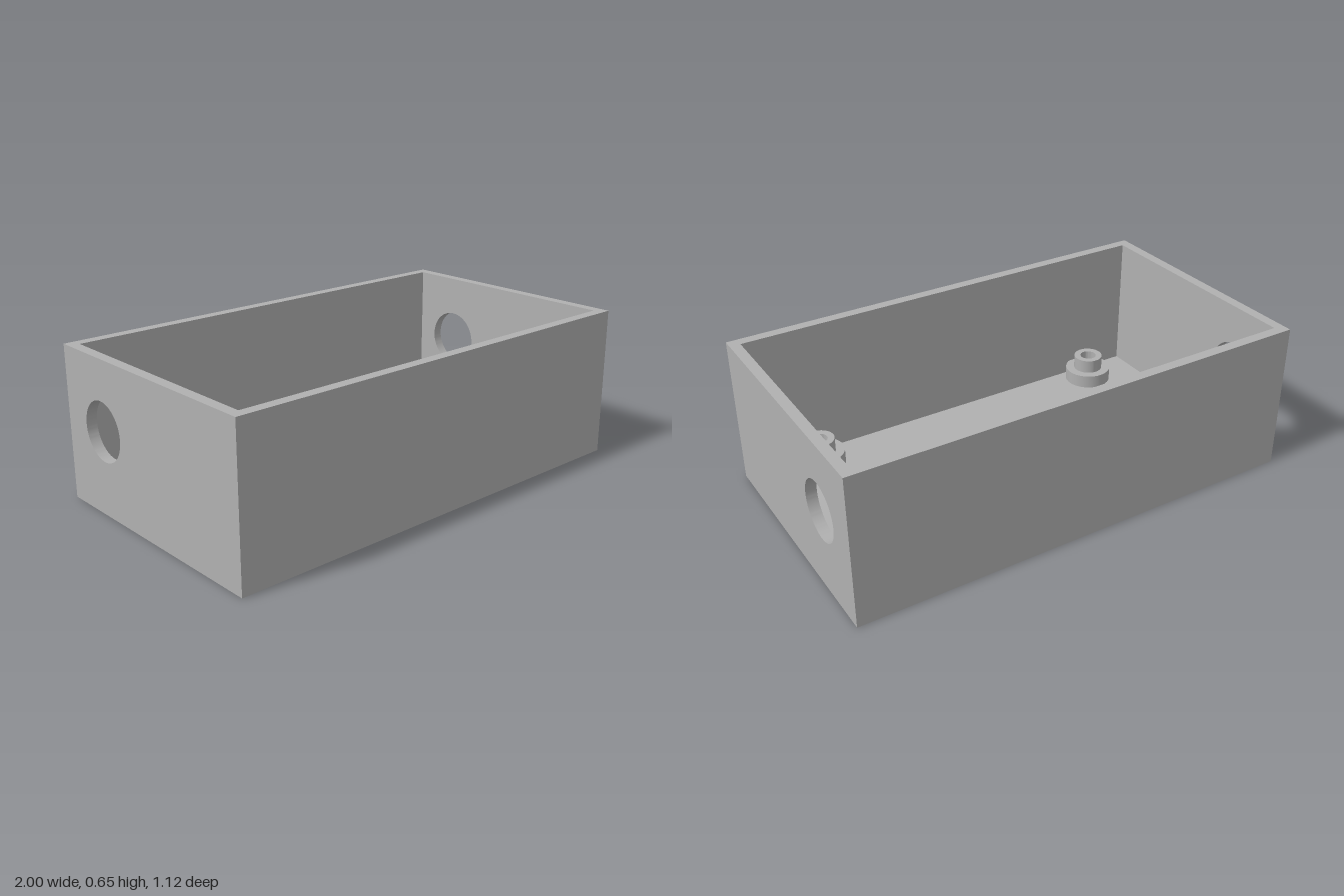
import * as THREE from 'three';
import { toCreasedNormals } from 'three/addons/utils/BufferGeometryUtils.js';

const W = 2, D = 1.12, H = 0.65, T = 0.045; // outer size and wall thickness
const BORE = 0.064, BORE_DEPTH = 0.025;     // screw head recess under each boss
const BOSS_X = 0.705, BOSS_Z = 0.42;

const circle = (x, y, r) => new THREE.Path().absarc(x, y, r, 0, Math.PI * 2, true);

// Flat panel with its outer face at z = 0, mitred inwards so panels join without seams
function panel(w, h, holes = [], mitreTop = false) {
  const shape = new THREE.Shape();
  shape.moveTo(-w / 2, 0).lineTo(w / 2, 0).lineTo(w / 2, h).lineTo(-w / 2, h).closePath();
  shape.holes = holes;
  const geo = new THREE.ExtrudeGeometry(shape, { depth: T, bevelEnabled: false, curveSegments: 48 });
  geo.translate(0, 0, -T);
  const p = geo.attributes.position;
  for (let i = 0; i < p.count; i++) {
    if (p.getZ(i) > -T / 2) continue;
    const x = p.getX(i), y = p.getY(i);
    if (Math.abs(x) > w / 2 - 1e-4) p.setX(i, x - Math.sign(x) * T);
    if (y < 1e-4) p.setY(i, T);
    if (mitreTop && y > h - 1e-4) p.setY(i, h - T);
  }
  return toCreasedNormals(geo, 0.5);
}

export function createModel() {
  const model = new THREE.Group();
  model.name = 'enclosure';
  const grey = new THREE.MeshStandardMaterial({ color: 0xb0b0b0 });
  grey.name = 'grey';

  const add = (name, geo, x, y, z, rx = 0, ry = 0) => {
    const mesh = new THREE.Mesh(geo, grey);
    mesh.name = name;
    mesh.position.set(x, y, z);
    mesh.rotation.set(rx, ry, 0);
    model.add(mesh);
  };

  // Long walls
  add('frontWall', panel(W, H), 0, 0, D / 2);
  add('backWall', panel(W, H), 0, 0, -D / 2, 0, Math.PI);

  // End walls, each with a round cable opening near the back
  for (const s of [1, -1]) {
    const opening = circle(s * 0.303, 0.355, 0.124);
    add(s > 0 ? 'leftWall' : 'rightWall', panel(D, H, [opening]), s * W / 2, 0, 0, 0, s * Math.PI / 2);
  }

  // Floor with recesses, and a stepped hollow boss above each
  const profile = [
    [0.105, 0.03], [0.105, 0.105], [0.066, 0.105], [0.066, 0.167],
    [0.037, 0.167], [0.037, BORE_DEPTH], [BORE, BORE_DEPTH],
  ].map(([r, y]) => new THREE.Vector2(r, y));
  const bossGeo = toCreasedNormals(new THREE.LatheGeometry(profile, 48), 0.5);
  const recesses = [];
  for (const sx of [1, -1]) {
    for (const sz of [1, -1]) {
      recesses.push(circle(sx * BOSS_X, D / 2 + sz * BOSS_Z, BORE));
      add('screwBoss', bossGeo, sx * BOSS_X, 0, sz * BOSS_Z);
    }
  }
  add('floor', panel(W, D, recesses, true), 0, 0, -D / 2, Math.PI / 2);

  return model;
}
